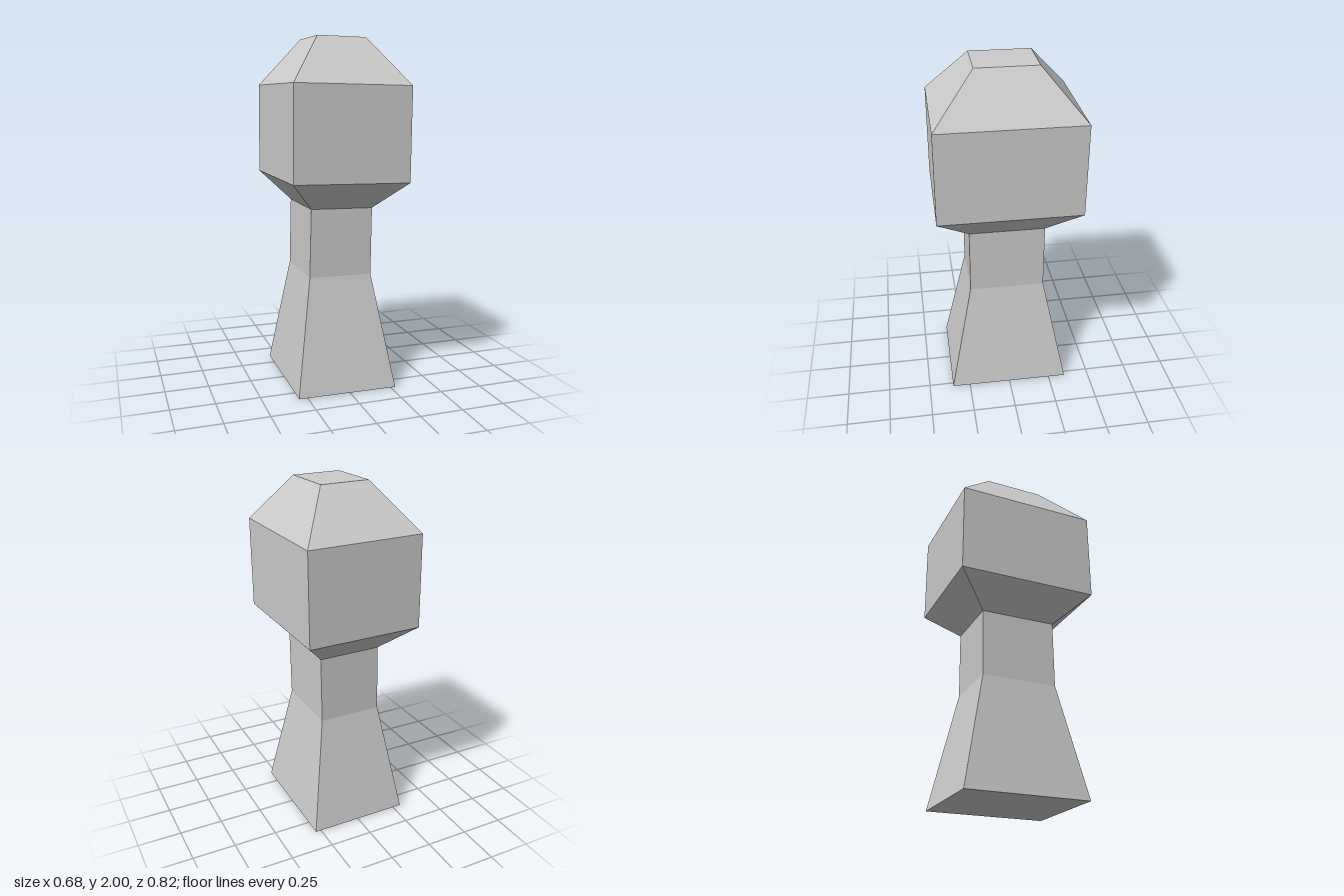
import * as THREE from 'three';

// Cross-sections from the ground up; the column leans very slightly.
// drop = how far the +x side sits below the -x side
const sections = [
  { y: 0.003, x: -0.01, w: 0.29, d: 0.353, drop: 0.005 },
  { y: 0.655, x: -0.012, w: 0.183, d: 0.219, drop: 0.005 },
  { y: 1.045, x: -0.004, w: 0.181, d: 0.219, drop: 0.007 },
  { y: 1.205, x: -0.004, w: 0.333, d: 0.406, drop: 0.012 },
  { y: 1.733, x: 0.001, w: 0.333, d: 0.406, drop: 0.012 },
  { y: 1.997, x: 0.009, w: 0.141, d: 0.173, drop: 0.005 },
];
const names = ['flaredBase', 'neck', 'headUnderside', 'head', 'taperedCrown'];
const TWIST = 0.006;

// Four corners of a section, anticlockwise from above, starting front -x
function ring({ y, x, w, d, drop }) {
  return [[-1, 1], [1, 1], [1, -1], [-1, -1]].map(([sx, sz]) => [
    x + sx * w - TWIST * sz * d,
    y - sx * drop / 2,
    sz * d + TWIST * sx * w,
  ]);
}

// Four-sided frustum between two rings, with optional end caps
function frustum(lower, upper, capBottom, capTop) {
  const points = [];
  const quad = (a, b, c, d) => points.push(...a, ...b, ...c, ...a, ...c, ...d);
  for (let i = 0; i < 4; i++) {
    const j = (i + 1) % 4;
    quad(lower[i], lower[j], upper[j], upper[i]);
  }
  if (capBottom) quad(lower[3], lower[2], lower[1], lower[0]);
  if (capTop) quad(...upper);
  const geometry = new THREE.BufferGeometry();
  geometry.setAttribute('position', new THREE.Float32BufferAttribute(points, 3));
  geometry.computeVertexNormals();
  return geometry;
}

export function createModel() {
  const group = new THREE.Group();
  group.name = 'bollard';
  const material = new THREE.MeshStandardMaterial({ color: 0xcccccc, flatShading: true });
  const rings = sections.map(ring);
  names.forEach((name, i) => {
    const geometry = frustum(rings[i], rings[i + 1], i === 0, i === names.length - 1);
    const mesh = new THREE.Mesh(geometry, material);
    mesh.name = name;
    group.add(mesh);
  });
  return group;
}
